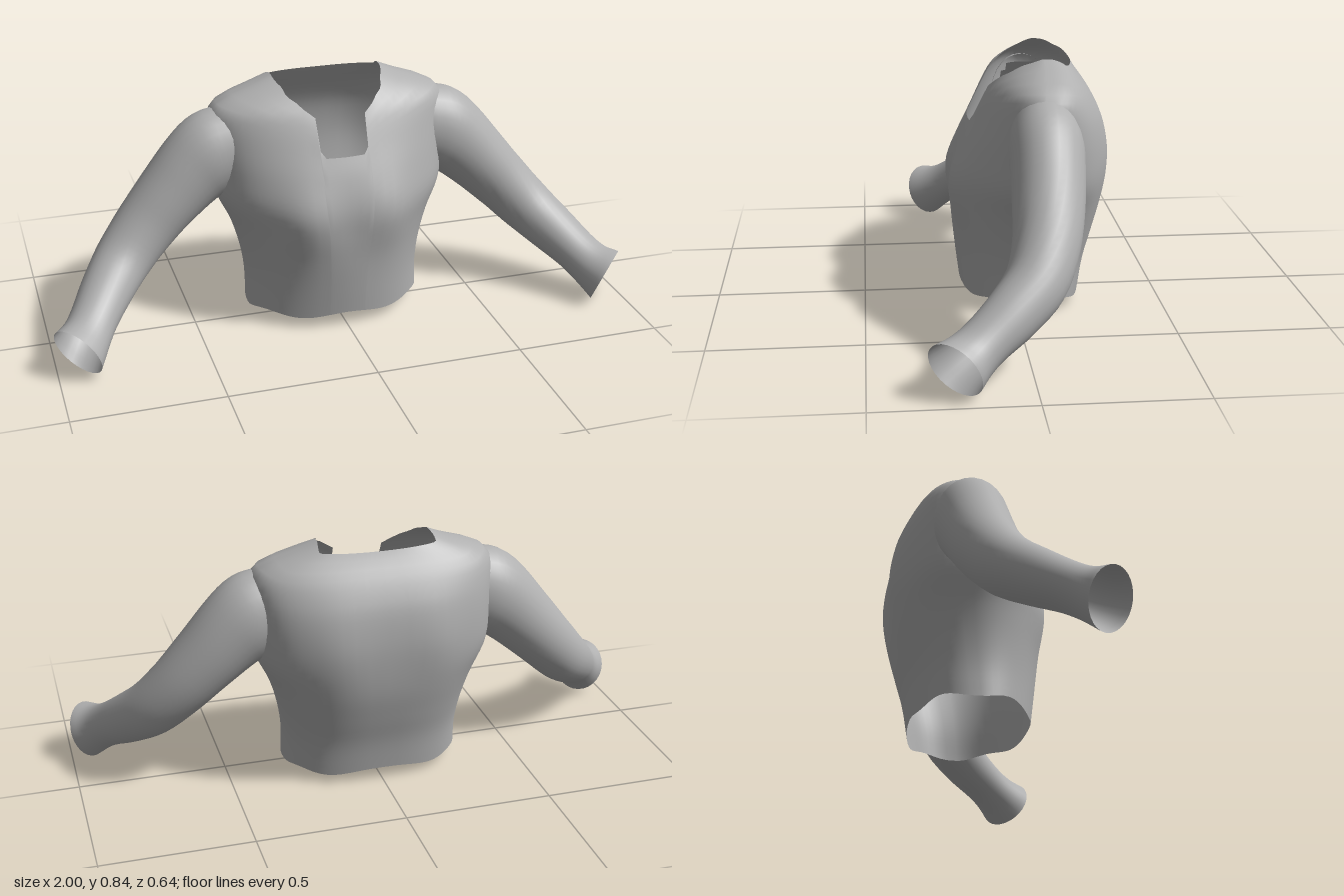
import * as THREE from 'three';

const fabric = new THREE.MeshStandardMaterial({ color: 0xb0b0b0, side: THREE.DoubleSide });
fabric.name = 'grey fabric';

// Smooth interpolation of table rows [key, ...values]
function sample(rows, k) {
  let i = 0;
  while (i < rows.length - 2 && k > rows[i + 1][0]) i++;
  const a = rows[i], b = rows[i + 1], h = b[0] - a[0];
  const t = Math.min(1, Math.max(0, (k - a[0]) / h));
  const p = rows[Math.max(0, i - 1)], q = rows[Math.min(rows.length - 1, i + 2)];
  return a.slice(1).map((v, j) => {
    const n = j + 1;
    const m0 = (b[n] - p[n]) / (b[0] - p[0]) * h, m1 = (q[n] - v) / (q[0] - a[0]) * h;
    const t2 = t * t, t3 = t2 * t;
    return (2 * t3 - 3 * t2 + 1) * v + (t3 - 2 * t2 + t) * m0 + (3 * t2 - 2 * t3) * b[n] + (t3 - t2) * m1;
  });
}

function linear(rows, k) {
  for (let i = 1; i < rows.length; i++) {
    const [k0, v0] = rows[i - 1], [k1, v1] = rows[i];
    if (k <= k1) return v0 + (v1 - v0) * (k - k0) / (k1 - k0);
  }
  return rows[rows.length - 1][1];
}

// Open surface from closed rings of points; skip(centre) leaves holes
function loft(name, rings, skip = () => false) {
  const n = rings[0].length, index = [];
  for (let r = 0; r < rings.length - 1; r++) {
    for (let c = 0; c < n; c++) {
      const d = (c + 1) % n;
      const centre = rings[r][c].clone().add(rings[r + 1][d]).multiplyScalar(0.5);
      if (skip(centre)) continue;
      const i = r * n + c, j = r * n + d;
      index.push(i, j, j + n, i, j + n, i + n);
    }
  }
  const geometry = new THREE.BufferGeometry().setFromPoints(rings.flat());
  geometry.setIndex(index);
  geometry.computeVertexNormals();
  const mesh = new THREE.Mesh(geometry, fabric);
  mesh.name = name;
  return mesh;
}

// Torso sections: height, half width, front z, back z, side z
const SECTIONS = [
  [0.03, 0.305, 0.17, -0.23, -0.03],
  [0.15, 0.305, 0.185, -0.25, -0.04],
  [0.25, 0.32, 0.195, -0.277, -0.05],
  [0.35, 0.35, 0.2, -0.3, -0.06],
  [0.45, 0.395, 0.197, -0.31, -0.07],
  [0.55, 0.405, 0.17, -0.31, -0.08],
  [0.65, 0.41, 0.125, -0.295, -0.08],
  [0.72, 0.41, 0.09, -0.265, -0.08],
  [0.76, 0.395, 0.065, -0.24, -0.08],
  [0.79, 0.34, 0.035, -0.217, -0.09],
  [0.82, 0.25, 0, -0.2, -0.1],
  [0.845, 0.19, -0.05, -0.19, -0.1],
];
// Neckline height by sideways fraction of the ring
const FRONT_NECK = [[0, 0.617], [0.16, 0.618], [0.2, 0.64], [0.21, 0.74], [0.36, 0.78], [0.68, 0.82], [1, 0.845]];
const BACK_NECK = [[0, 0.82], [0.75, 0.822], [1, 0.845]];

function torsoPoint(a, v) {
  const front = Math.cos(a) >= 0, sa = Math.sin(a), s = Math.abs(sa), c = Math.abs(Math.cos(a));
  const top = linear(front ? FRONT_NECK : BACK_NECK, s);
  const hem = 0.046 + 0.008 * Math.cos(6 * a) - (front ? 0 : 0.008 * c);
  const y = hem + (top - hem) * v;
  const [w, zf, zb, zc] = sample(SECTIONS, y);
  const e = front ? 1 : 2 / 2.6;
  const x = Math.sign(sa) * w * Math.pow(s, e);
  let z = zc + ((front ? zf : zb) - zc) * Math.pow(c, e);
  // chest and shoulder blade fullness
  const bump = (cx, cy, rx, ry) => Math.exp(-(((Math.abs(x) - cx) / rx) ** 2) - ((y - cy) / ry) ** 2);
  z += front ? 0.028 * bump(0.15, 0.41, 0.09, 0.12) * c : -0.013 * bump(0.17, 0.52, 0.09, 0.14) * c;
  return new THREE.Vector3(x, y, z);
}

function torso() {
  const notch = Math.asin(0.2), half = [0, notch * 0.4, notch * 0.8, notch, Math.asin(0.21)];
  for (let i = 1; i <= 14; i++) half.push(half[4] + (Math.PI / 2 - half[4]) * i / 14);
  for (let i = 1; i <= 16; i++) half.push(Math.PI / 2 * (1 + i / 16));
  const angles = [...half, ...half.slice(1, -1).reverse().map((a) => -a)];
  const rings = [];
  for (let r = 0; r <= 32; r++) rings.push(angles.map((a) => torsoPoint(a, r / 32)));
  // armholes inside the sleeve heads
  const armhole = (p) => Math.abs(p.x) > 0.3 && ((p.y - 0.61) / 0.115) ** 2 + ((p.z + 0.08) / 0.09) ** 2 < 1;
  return loft('torso', rings, armhole);
}

// Sleeve rings: step, centre xyz, facing xyz, vertical and depth radii
const SLEEVE = [
  [0, 0.34, 0.615, -0.08, 1, -0.1, 0, 0.145, 0.11],
  [1, 0.41, 0.595, -0.08, 1, -0.35, 0, 0.148, 0.12],
  [2, 0.475, 0.545, -0.078, 1, -0.75, 0.02, 0.133, 0.118],
  [3, 0.56, 0.46, -0.07, 0.74, -0.68, 0.08, 0.117, 0.113],
  [4, 0.65, 0.365, -0.052, 0.68, -0.68, 0.25, 0.105, 0.105],
  [5, 0.735, 0.275, -0.01, 0.6, -0.6, 0.5, 0.096, 0.097],
  [6, 0.805, 0.208, 0.066, 0.5, -0.5, 0.7, 0.086, 0.088],
  [7, 0.862, 0.153, 0.145, 0.48, -0.48, 0.72, 0.076, 0.08],
  [8, 0.897, 0.119, 0.196, 0.58, -0.44, 0.68, 0.08, 0.083],
  [9, 0.932, 0.092, 0.243, 0.7, -0.38, 0.6, 0.097, 0.095],
];

function sleeve(name, side) {
  const rings = [], up = new THREE.Vector3(0, 1, 0);
  for (let r = 0; r <= 36; r++) {
    const [x, y, z, dx, dy, dz, rv, rd] = sample(SLEEVE, r / 4);
    const facing = new THREE.Vector3(dx, dy, dz).normalize();
    const across = facing.clone().cross(up).normalize();
    const rise = across.clone().cross(facing);
    const ring = [];
    for (let i = 0; i < 28; i++) {
      const a = side * i / 28 * Math.PI * 2;
      const p = new THREE.Vector3(x, y, z)
        .addScaledVector(rise, Math.cos(a) * rv)
        .addScaledVector(across, Math.sin(a) * rd);
      p.x *= side;
      ring.push(p);
    }
    rings.push(ring);
  }
  return loft(name, rings);
}

export function createModel() {
  const shirt = new THREE.Group();
  shirt.name = 'shirt';
  shirt.add(torso(), sleeve('leftSleeve', 1), sleeve('rightSleeve', -1));
  return shirt;
}
